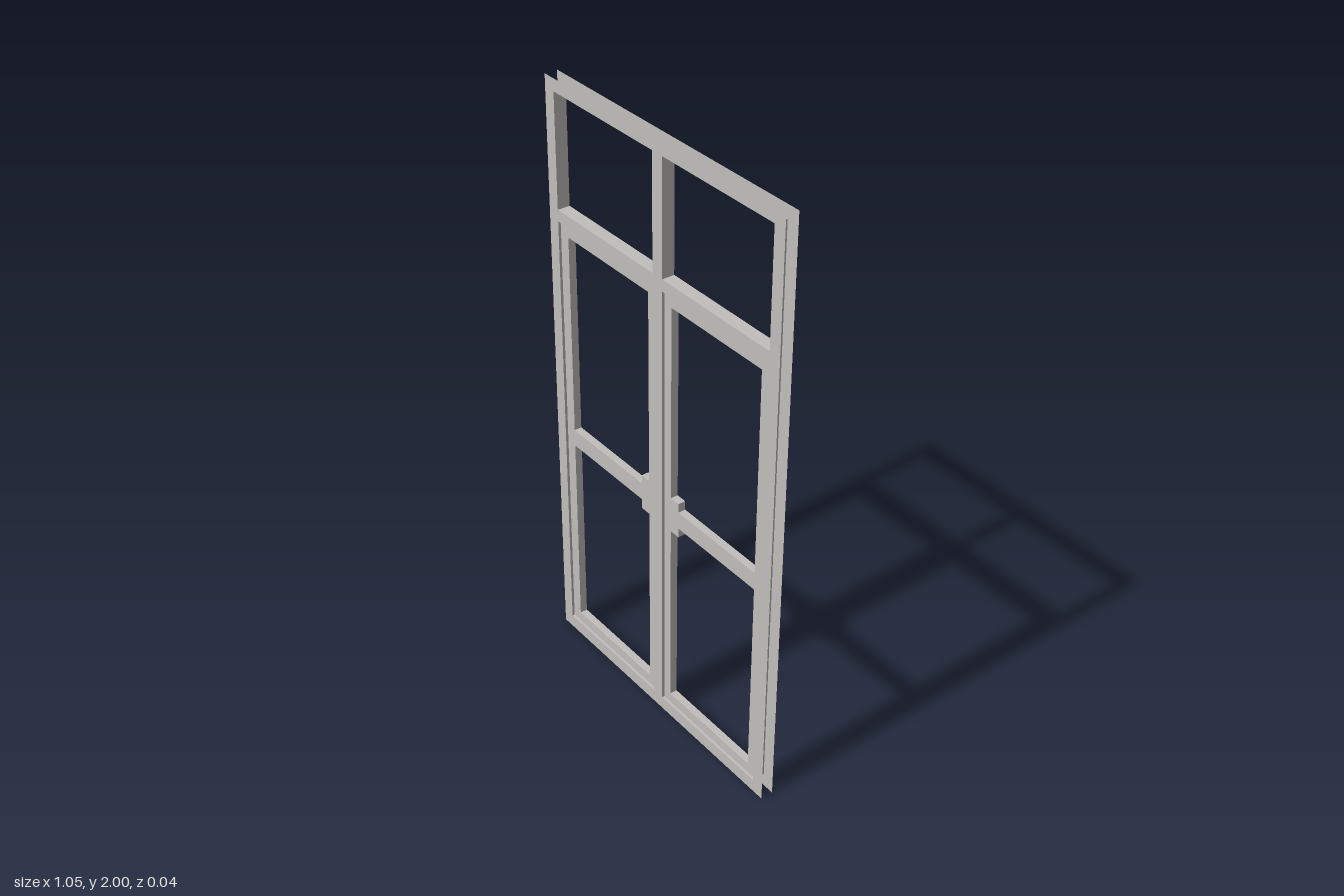
import * as THREE from 'three';

const DEPTH = 0.021;       // half depth of the outer frame
const SASH = 0.0125;       // half depth of the casements
const INNER = [-0.484, 0.484, 0.045, 1.96];   // inside edge of the outer frame
const MULLION = 0.022;     // half width of the centre post
const TRANSOM = [1.55, 1.588];

const corners = ([x0, x1, y0, y1]) => [[x0, y0], [x1, y0], [x1, y1], [x0, y1]];
const points = (list) => list.map(([x, y]) => new THREE.Vector2(x, y));

function panel(outer, holes) {
  const shape = new THREE.Shape(points(outer));
  holes.forEach((h) => shape.holes.push(new THREE.Path(points(h))));
  return shape;
}

// Four walls lining a rectangular opening, facing inward
function liningGeometry(ring, d) {
  const pos = [];
  ring.forEach(([ax, ay], i) => {
    const [bx, by] = ring[(i + 1) % 4];
    pos.push(ax, ay, d, bx, by, d, bx, by, -d);
    pos.push(ax, ay, d, bx, by, -d, ax, ay, -d);
  });
  const g = new THREE.BufferGeometry();
  g.setAttribute('position', new THREE.Float32BufferAttribute(pos, 3));
  g.computeVertexNormals();
  return g;
}

export function createModel() {
  const model = new THREE.Group();
  model.name = 'window';
  const paint = new THREE.MeshStandardMaterial({ color: 0xc0bebb, side: THREE.DoubleSide });
  paint.name = 'pale grey paint';

  const add = (parent, name, geometry, x = 0, y = 0, z = 0) => {
    const mesh = new THREE.Mesh(geometry, paint);
    mesh.name = name;
    mesh.position.set(x, y, z);
    parent.add(mesh);
    return mesh;
  };

  // Outer frame: two face sheets joined by the lining of the opening
  const frame = new THREE.Group();
  frame.name = 'outerFrame';
  model.add(frame);
  const opening = corners(INNER);
  const sheet = new THREE.ShapeGeometry(panel(corners([-0.526, 0.526, 0, 2]), [opening]));
  add(frame, 'frontFace', sheet, 0, 0, DEPTH);
  add(frame, 'backFace', sheet, 0, 0, -DEPTH).rotation.y = Math.PI;
  add(frame, 'frameLining', liningGeometry(opening, DEPTH));

  // Centre post and cross rail
  const [x0, x1, y0, y1] = INNER;
  const [t0, t1] = TRANSOM;
  add(frame, 'mullion', new THREE.BoxGeometry(2 * MULLION, y1 - y0, 2 * DEPTH), 0, (y0 + y1) / 2);
  add(frame, 'transom', new THREE.BoxGeometry(x1 - x0, t1 - t0, 2 * DEPTH), 0, (t0 + t1) / 2);

  // Casements: two lights each, notched around a latch plate flush with the stile
  for (const side of [-1, 1]) {
    const mirror = (list) => list.map(([x, y]) => [side * x, y]);
    const sash = panel(mirror(corners([MULLION, x1, y0, t0])), [
      mirror([[0.054, 0.08], [0.446, 0.08], [0.446, 0.767],
        [0.091, 0.767], [0.091, 0.734], [0.054, 0.734]]),
      mirror([[0.091, 0.826], [0.446, 0.826], [0.446, 1.51],
        [0.054, 1.51], [0.054, 0.857], [0.091, 0.857]]),
    ]);
    add(model, side > 0 ? 'leftCasement' : 'rightCasement',
      new THREE.ExtrudeGeometry(sash, { depth: 2 * SASH, bevelEnabled: false }), 0, 0, -SASH);
  }
  return model;
}
